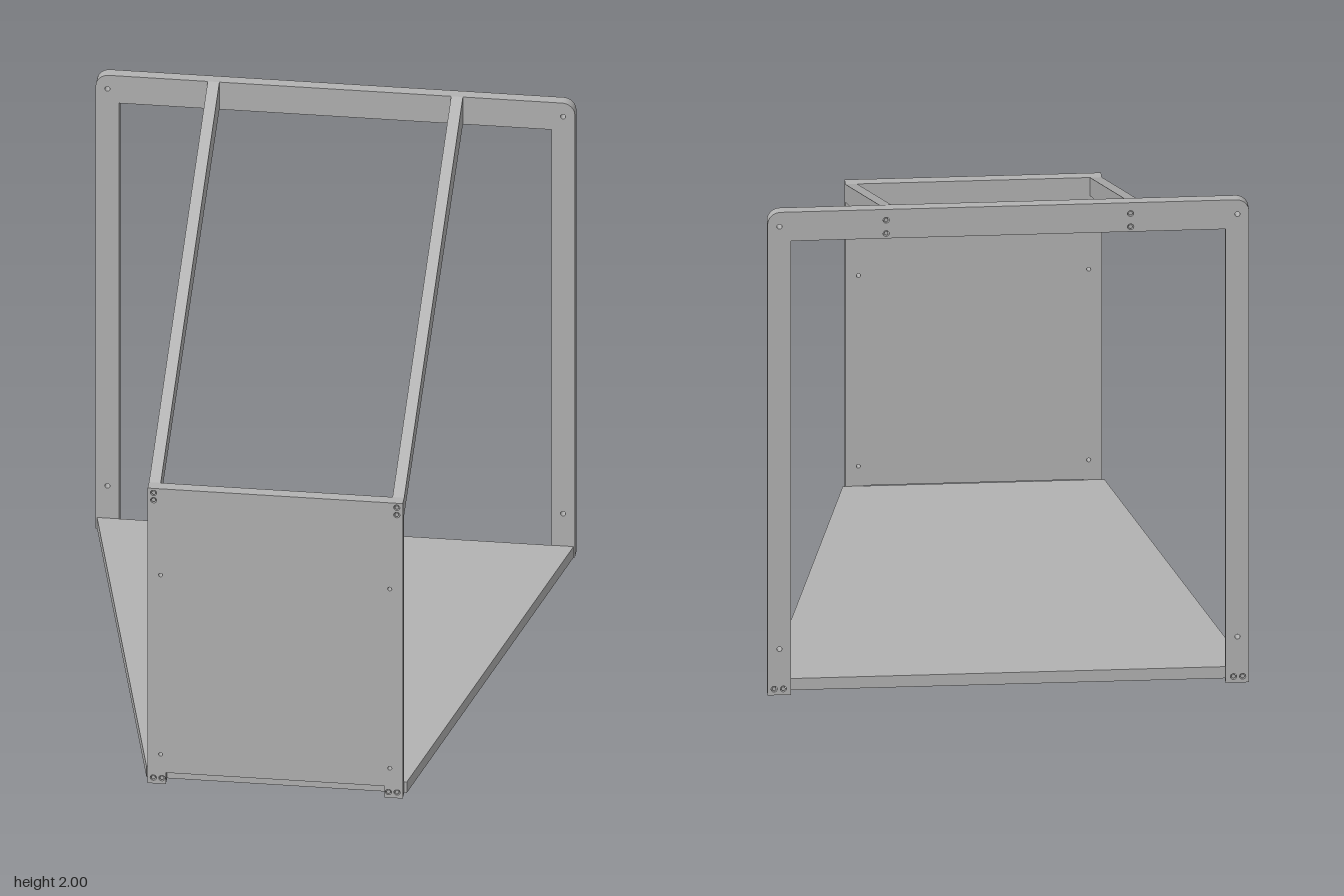
import * as THREE from 'three';

const grey = new THREE.MeshStandardMaterial({ color: 0xb2b2b2 });
grey.name = 'plain grey';

const BACK = -0.97, FRONT = 0.97, T = 0.045; // outer faces and plate thickness

function addHoles(shape, list, r) {
  for (const [x, y] of list) {
    for (const s of [-1, 1]) {
      const hole = new THREE.Path();
      hole.absarc(s * x, y, r, 0, Math.PI * 2, true);
      shape.holes.push(hole);
    }
  }
}

function plate(shape, depth, name) {
  const geo = new THREE.ExtrudeGeometry(shape, { depth, bevelEnabled: false, curveSegments: 8 });
  const mesh = new THREE.Mesh(geo, grey);
  mesh.name = name;
  return mesh;
}

function polygon(points) {
  return new THREE.Shape(points.map(([x, y]) => new THREE.Vector2(x, y)));
}

// mirrored pairs of screws sitting inside their holes
function screws(list, z, name) {
  const group = new THREE.Group();
  group.name = name;
  const geo = new THREE.CylinderGeometry(0.008, 0.008, 0.04, 12).rotateX(Math.PI / 2);
  for (const [x, y] of list) {
    for (const s of [-1, 1]) {
      const screw = new THREE.Mesh(geo, grey);
      screw.name = 'screw';
      screw.position.set(s * x, y, z);
      group.add(screw);
    }
  }
  return group;
}

export function createModel() {
  const model = new THREE.Group();
  model.name = 'openFrame';

  // back frame: an upside-down U with rounded top corners
  const W = 0.92, IN = 0.83, R = 0.05;
  const arch = new THREE.Shape();
  arch.moveTo(IN, 0);
  arch.lineTo(W, 0);
  arch.lineTo(W, 2 - R);
  arch.absarc(W - R, 2 - R, R, 0, Math.PI / 2, false);
  arch.lineTo(-W + R, 2);
  arch.absarc(-W + R, 2 - R, R, Math.PI / 2, Math.PI, false);
  arch.lineTo(-W, 0);
  arch.lineTo(-IN, 0);
  arch.lineTo(-IN, 1.88);
  arch.lineTo(IN, 1.88);
  arch.closePath();
  const backScrews = [[0.467, 1.955], [0.467, 1.9], [0.895, 0.025], [0.86, 0.025]];
  addHoles(arch, [[0.875, 1.94], [0.875, 0.19]], 0.01);
  addHoles(arch, backScrews, 0.012);
  const backFrame = plate(arch, T, 'backFrame');
  backFrame.position.z = BACK;
  model.add(backFrame, screws(backScrews, BACK + 0.022, 'backScrews'));

  // front panel with a slot between two small feet
  const panel = polygon([
    [0.42, 0], [0.49, 0], [0.49, 1.3], [-0.49, 1.3],
    [-0.49, 0], [-0.42, 0], [-0.42, 0.05], [0.42, 0.05],
  ]);
  const frontScrews = [[0.467, 1.28], [0.467, 1.248], [0.468, 0.025], [0.435, 0.025]];
  addHoles(panel, [[0.44, 0.92], [0.44, 0.13]], 0.008);
  addHoles(panel, frontScrews, 0.012);
  const frontPanel = plate(panel, T, 'frontPanel');
  frontPanel.position.z = FRONT - T;
  model.add(frontPanel, screws(frontScrews, FRONT - 0.022, 'frontScrews'));

  // tapered floor between the two upright plates
  const zb = BACK + T, zf = FRONT - T;
  const floor = plate(polygon([[-0.5, -zf], [0.5, -zf], [0.915, -zb], [-0.915, -zb]]), 0.048, 'floor');
  floor.rotation.x = -Math.PI / 2;
  model.add(floor);

  // two sloping roof rails, outlined from the side
  const rail = polygon([[-zf, 1.225], [-zb, 1.88], [-zb, 2], [-zf, 1.3]]);
  for (const s of [-1, 1]) {
    const mesh = plate(rail, T, s > 0 ? 'leftRail' : 'rightRail');
    mesh.rotation.y = Math.PI / 2;
    mesh.position.x = s * 0.4675 - T / 2;
    model.add(mesh);
  }

  return model;
}
